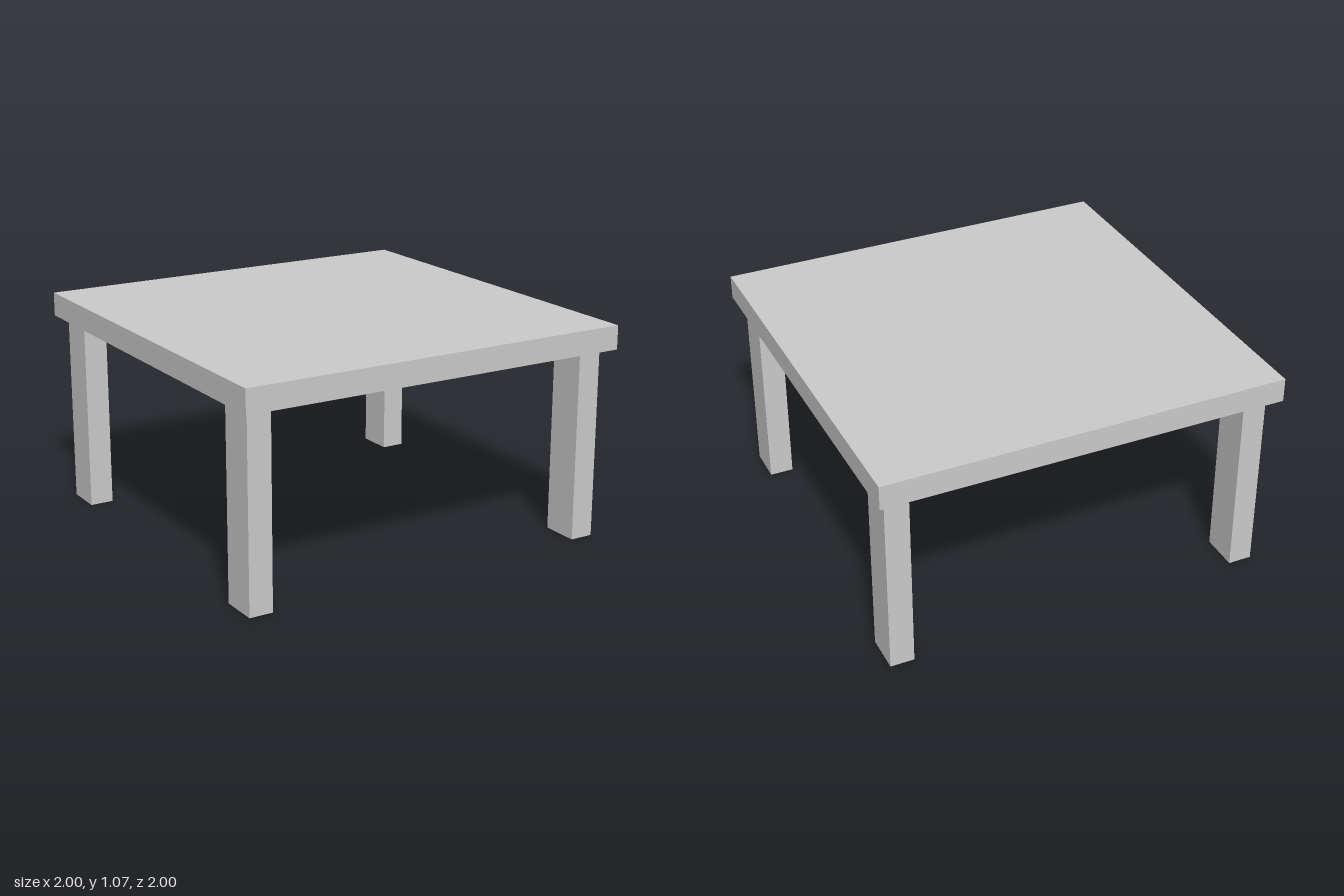
import * as THREE from 'three';

export function createModel() {
  const group = new THREE.Group();
  const material = new THREE.MeshStandardMaterial({ color: 0xcccccc, flatShading: true });

  const addBox = (name, size, position) => {
    const mesh = new THREE.Mesh(new THREE.BoxGeometry(...size), material);
    mesh.name = name;
    mesh.position.set(...position);
    group.add(mesh);
  };

  // Square slab top
  const legHeight = 0.95;
  const topThickness = 0.118;
  addBox('tableTop', [2, topThickness, 2], [0, legHeight + topThickness / 2, 0]);

  // Four rectangular legs, deeper than wide, set just inside the corners
  for (const [side, x] of [['Left', 0.894], ['Right', -0.899]]) {
    for (const [end, z] of [['front', 0.835], ['back', -0.828]]) {
      addBox(`${end}${side}Leg`, [0.118, legHeight, 0.19], [x, legHeight / 2, z]);
    }
  }
  return group;
}
